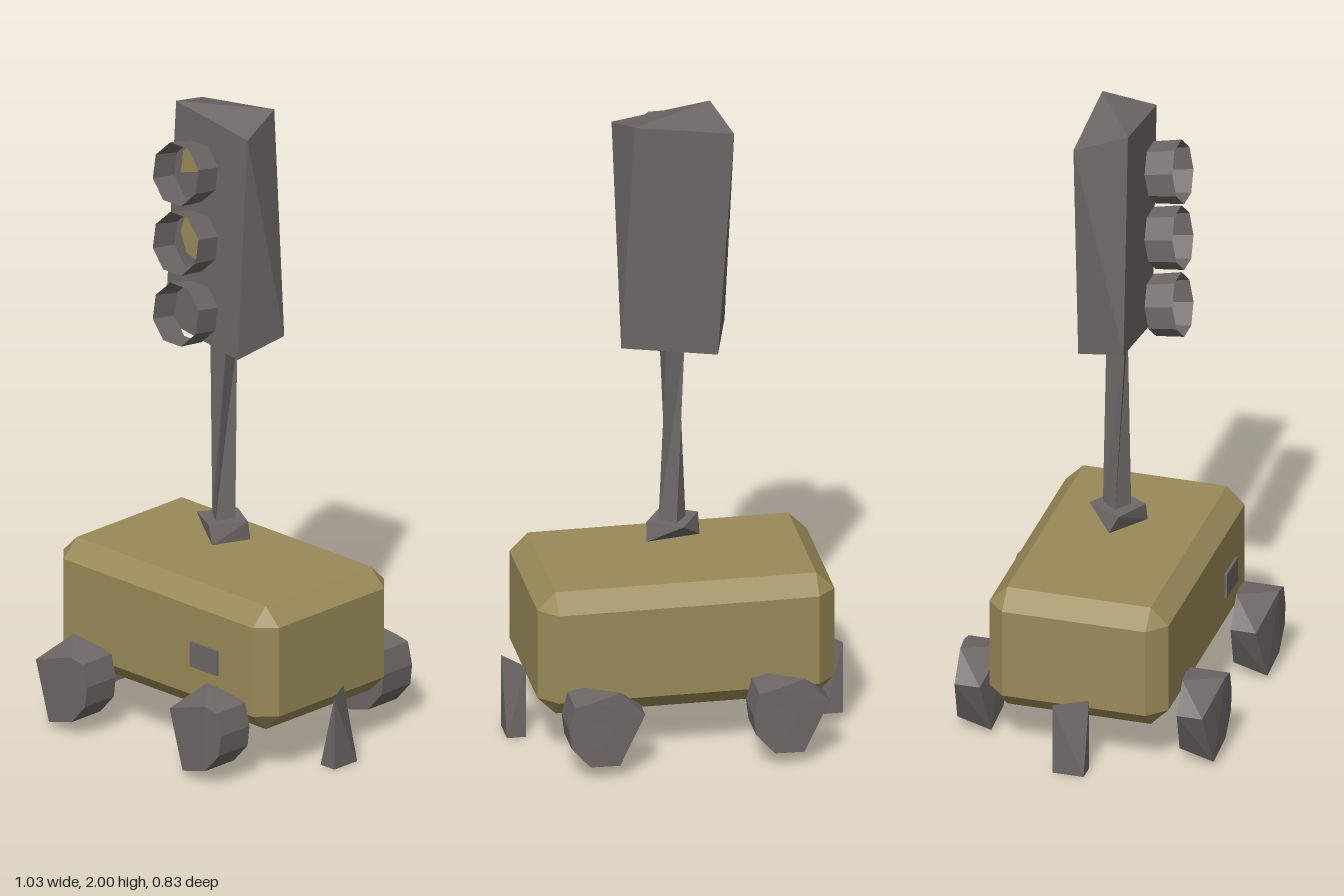
import * as THREE from 'three';
import { ConvexGeometry } from 'three/addons/geometries/ConvexGeometry.js';

export function createModel() {
  const model = new THREE.Group();
  const ochre = new THREE.MeshStandardMaterial({ color: 0x998a58, flatShading: true, side: THREE.DoubleSide });
  ochre.name = 'ochre';
  const grey = new THREE.MeshStandardMaterial({ color: 0x6e6767, flatShading: true, side: THREE.DoubleSide });
  grey.name = 'warmGrey';

  const add = (name, geometry, material, x = 0, y = 0, z = 0, parent = model) => {
    const mesh = new THREE.Mesh(geometry, material);
    mesh.name = name;
    mesh.position.set(x, y, z);
    parent.add(mesh);
    return mesh;
  };
  const hull = (points) => new ConvexGeometry(points.map((p) => new THREE.Vector3(...p)));
  const plate = (points) => new THREE.ShapeGeometry(new THREE.Shape(points.map((p) => new THREE.Vector2(...p))));

  // Chamfered body
  const [w, h, d, c] = [0.456, 0.2, 0.282, 0.056];
  const corners = [];
  for (const sx of [-1, 1]) for (const sy of [-1, 1]) for (const sz of [-1, 1]) {
    corners.push([sx * w, sy * (h - c), sz * (d - c)]);
    corners.push([sx * (w - c), sy * h, sz * (d - c)]);
    corners.push([sx * (w - c), sy * (h - c), sz * d]);
  }
  add('body', hull(corners), ochre, 0, 0.35, 0);

  // Small front panel
  add('frontPanel', new THREE.BoxGeometry(0.115, 0.08, 0.008), grey, 0.208, 0.346, 0.297);

  // Rough faceted wheels, with a square hub on the rear face
  const wheelPoints = [[-0.043, 0.131, -0.045], [-0.05, -0.129, 0.055], [-0.04, -0.105, -0.055]];
  for (const s of [-1, 1]) {
    for (const [x, y] of [[0.05, 0.11], [0.1, 0.1], [0.118, 0.03], [0.11, -0.035], [0.052, -0.1]]) {
      wheelPoints.push([x, y, s * 0.062]);
    }
    wheelPoints.push([-0.12, 0.05, s * 0.04]);
  }
  const wheelGeometry = hull(wheelPoints);
  const hubGeometry = new THREE.BoxGeometry(0.075, 0.075, 0.006);
  for (const x of [-0.291, 0.275]) for (const z of [-0.349, 0.351]) {
    const wheel = new THREE.Group();
    wheel.name = (z > 0 ? 'front' : 'back') + (x > 0 ? 'Left' : 'Right') + 'Wheel';
    wheel.position.set(x, 0.146, z);
    model.add(wheel);
    add('tyre', wheelGeometry, grey, 0, 0, 0, wheel);
    add('hub', hubGeometry, grey, 0.03, 0, -0.062, wheel).rotation.z = 0.5;
  }

  // Wedge-shaped side legs with a diagonal top edge
  const legGeometry = hull([
    [-0.029, 0, -0.049], [0.029, 0, -0.049], [0.029, 0, 0.049], [-0.029, 0, 0.049],
    [-0.029, 0.232, -0.049], [0.029, 0.232, 0.049],
  ]);
  add('rightLeg', legGeometry, grey, -0.487, 0, 0);
  add('leftLeg', legGeometry, grey, 0.487, 0, 0);

  // Irregular collar under the pole
  add('poleCollar', hull([
    [-0.085, 0.665, 0.03], [0.02, 0.665, 0.085], [0.083, 0.665, -0.02], [-0.02, 0.665, -0.08],
    [-0.085, 0.605, 0], [0.035, 0.605, 0.086], [0.083, 0.605, -0.03],
  ]), grey);

  // Pole twisted along its length
  const pole = new THREE.CylinderGeometry(0.041, 0.043, 0.57, 4, 1);
  const pos = pole.attributes.position;
  for (let i = 0; i < pos.count; i++) {
    const v = new THREE.Vector3().fromBufferAttribute(pos, i);
    v.applyAxisAngle(new THREE.Vector3(0, 1, 0), v.y > 0 ? 0.95 : 0.15);
    pos.setXYZ(i, v.x, v.y, v.z);
  }
  pole.computeVertexNormals();
  add('pole', pole, grey, 0, 0.948, 0);

  // Signal head, its front and back outlines skewed opposite ways
  add('signalHead', hull([
    [-0.13, 2, 0.073], [0.172, 1.955, 0.073], [0.13, 1.23, 0.073], [-0.175, 1.275, 0.073],
    [-0.175, 1.955, -0.085], [0.13, 2, -0.085], [0.172, 1.275, -0.085], [-0.125, 1.23, -0.085],
  ]), grey);

  // Open ring hoods, tipped slightly upward
  const hood = new THREE.CylinderGeometry(0.098, 0.094, 0.09, 8, 1, true);
  hood.rotateY(Math.PI / 8);
  hood.rotateX(Math.PI / 2 - 0.17);
  for (const [name, y] of [['topHood', 1.828], ['middleHood', 1.602], ['bottomHood', 1.372]]) {
    add(name, hood, grey, 0, y, 0.163);
  }

  // Faceted lenses
  add('topLens', plate([[-0.066, -0.03], [0.07, 0.012], [0.045, 0.058], [-0.02, 0.072], [-0.055, 0.045]]),
    ochre, 0, 1.828, 0.118);
  add('topLensLower', plate([[-0.066, -0.03], [0, -0.085], [0.07, -0.04], [0.07, 0.012]]),
    grey, 0, 1.828, 0.118);
  add('middleLens', plate([[-0.045, -0.06], [0.03, -0.082], [0.072, -0.02], [0.05, 0.055], [-0.05, 0.058], [-0.07, 0.005]]),
    ochre, 0, 1.602, 0.115);
  add('bottomLens', plate([[-0.06, -0.065], [0.045, -0.07], [0.04, 0.01], [0, 0.07], [-0.055, 0.02]]),
    grey, 0, 1.372, 0.118);

  return model;
}
